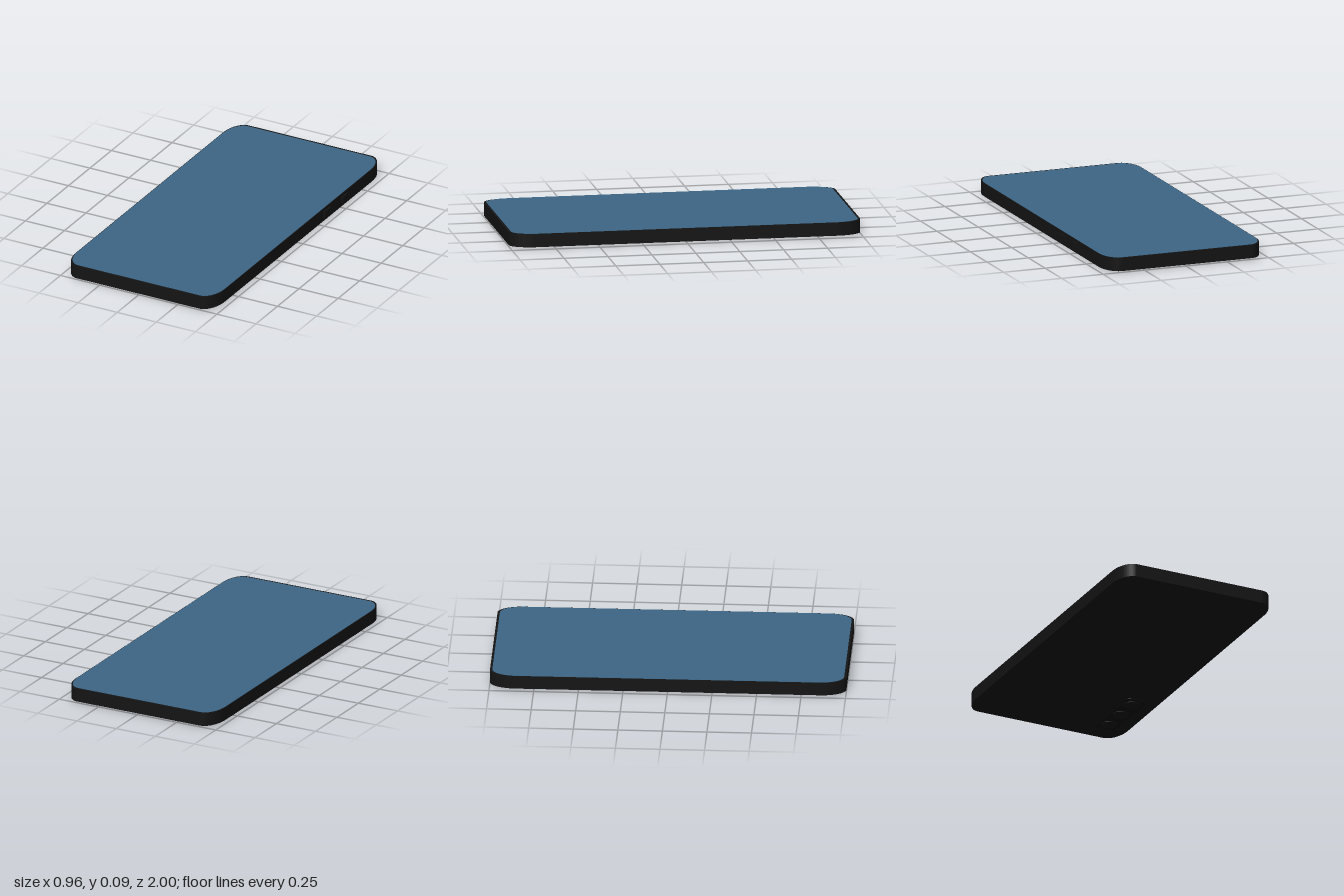
import * as THREE from 'three';

const black = new THREE.MeshStandardMaterial({ color: 0x141414 });
const darkest = new THREE.MeshStandardMaterial({ color: 0x0b0b0b });
const blue = new THREE.MeshStandardMaterial({ color: 0x3d6685 });

// Rectangle of half sizes w, d with elliptical corners of radii rx, rz
function roundedOutline(w, d, rx, rz) {
  const s = new THREE.Shape();
  const q = Math.PI / 2;
  s.moveTo(w, -d + rz);
  s.lineTo(w, d - rz);
  s.absellipse(w - rx, d - rz, rx, rz, 0, q);
  s.absellipse(-w + rx, d - rz, rx, rz, q, 2 * q);
  s.absellipse(-w + rx, -d + rz, rx, rz, 2 * q, 3 * q);
  s.absellipse(w - rx, -d + rz, rx, rz, 3 * q, 4 * q);
  return s;
}

// Slab standing on y0 and reaching y1
function slab(name, shape, y0, y1, material) {
  const geo = new THREE.ExtrudeGeometry(shape, { depth: y1 - y0, bevelEnabled: false, curveSegments: 10 });
  geo.rotateX(-Math.PI / 2);
  const mesh = new THREE.Mesh(geo, material);
  mesh.name = name;
  mesh.position.y = y0;
  return mesh;
}

export function createModel() {
  const phone = new THREE.Group();
  phone.name = 'phone';

  // Casing and the screen set just inside its rim
  const casing = slab('casing', roundedOutline(0.476, 1, 0.085, 0.145), 0.01, 0.086, black);
  const screen = slab('screen', roundedOutline(0.472, 0.987, 0.083, 0.14), 0.08, 0.0875, blue);
  casing.position.x = screen.position.x = -0.005;
  phone.add(casing, screen);

  // Two side buttons
  for (const z of [-0.53, -0.325]) {
    const button = new THREE.Mesh(new THREE.BoxGeometry(0.013, 0.038, z < -0.5 ? 0.06 : 0.07), black);
    button.name = 'sideButton';
    button.position.set(0.4745, 0.051, z);
    phone.add(button);
  }

  // Camera plate on the underside with a row of lenses
  const plate = slab('cameraPlate', roundedOutline(0.062, 0.215, 0.025, 0.025), 0.006, 0.015, darkest);
  plate.position.x = 0.336;
  plate.position.z = -0.675;
  phone.add(plate);
  for (const z of [-0.53, -0.67, -0.82]) {
    const lens = new THREE.Mesh(new THREE.CylinderGeometry(0.047, 0.047, 0.01, 32), black);
    lens.name = 'cameraLens';
    lens.position.set(0.334, 0.0075, z);
    phone.add(lens);
  }
  return phone;
}
